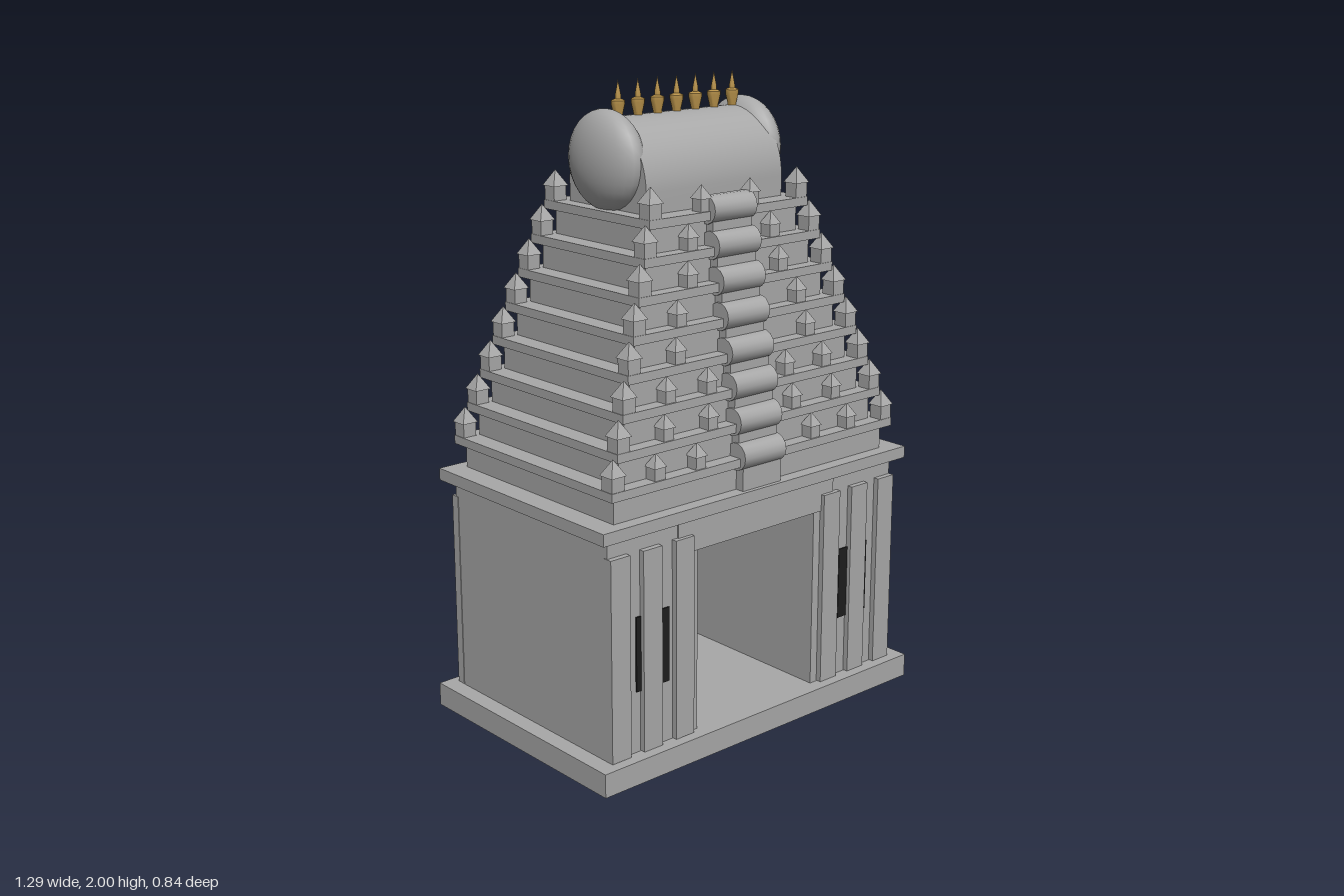
import * as THREE from 'three';
import { toCreasedNormals } from 'three/addons/utils/BufferGeometryUtils.js';

export function createModel() {
  const model = new THREE.Group();
  model.name = 'gatewayTower';
  const stone = new THREE.MeshStandardMaterial({ color: 0xa8a8a8 });
  stone.name = 'stone';
  const dark = new THREE.MeshStandardMaterial({ color: 0x1e1e1e });
  dark.name = 'darkNiche';
  const gold = new THREE.MeshStandardMaterial({ color: 0xb8924a });
  gold.name = 'gold';

  const add = (name, geo, x, y, z, parent = model, mat = stone) => {
    const mesh = new THREE.Mesh(geo, mat);
    mesh.name = name;
    mesh.position.set(x, y, z);
    parent.add(mesh);
    return mesh;
  };
  // box given by its bottom height
  const box = (name, w, h, d, x, y, z, parent = model, mat = stone) =>
    add(name, new THREE.BoxGeometry(w, h, d), x, y + h / 2, z, parent, mat);

  // Gate storey
  box('plinth', 1.29, 0.075, 0.84, 0, 0, 0);
  box('lintel', 0.65, 0.11, 0.752, 0, 0.655, 0);
  box('gateCornice', 1.256, 0.038, 0.804, 0, 0.763, 0);
  for (const sx of [-1, 1]) {
    box('gateWall', 0.345, 0.69, 0.742, sx * 0.4175, 0.075, 0);
    for (const sz of [-1, 1]) {
      for (const x of [0.556, 0.434, 0.309])
        box('pilaster', 0.072, 0.632, 0.03, sx * x, 0.077, sz * 0.374);
      box('niche', 0.127, 0.235, 0.008, sx * 0.424, 0.27, sz * 0.372, model, dark);
    }
  }

  // Corner and row turrets: cube with a pyramid roof
  const cube = new THREE.BoxGeometry(0.046, 0.045, 0.046);
  const roof = new THREE.ConeGeometry(0.039, 0.048, 4).rotateY(Math.PI / 4).toNonIndexed();
  roof.computeVertexNormals();
  const turret = (x, y, z, s, parent) => {
    const g = new THREE.Group();
    g.name = 'turret';
    add('turretBody', cube, 0, 0.0225, 0, g);
    add('turretRoof', roof, 0, 0.068, 0, g);
    g.position.set(x, y, z);
    g.scale.setScalar(s);
    parent.add(g);
  };

  // Stepped tiers
  const tierHeight = 0.1035;
  const barrel = toCreasedNormals(
    new THREE.CylinderGeometry(0.043, 0.043, 0.17, 14).rotateZ(Math.PI / 2), 0.7);
  for (let i = 0; i < 8; i++) {
    const tier = new THREE.Group();
    tier.name = 'tier' + (i + 1);
    model.add(tier);
    const y = 0.8 + i * tierHeight, top = y + tierHeight;
    const hx = 0.555 - i * 0.0373, hz = 0.358 - i * 0.0197;
    box('tierWall', hx * 2, tierHeight - 0.027, hz * 2, 0, y, 0, tier);
    box('tierCornice', hx * 2 + 0.05, 0.027, hz * 2 + 0.05, 0, top - 0.027, 0, tier);
    const count = Math.floor((2 * hx) / 0.155) + 1;
    for (const sz of [-1, 1]) {
      box('centreNiche', 0.156, tierHeight - 0.02, 0.06, 0, y, sz * hz, tier);
      add('centreBarrel', barrel, 0, top + 0.002, sz * (hz + 0.004), tier);
      for (let k = 0; k < count; k++) {
        const x = -hx + (2 * hx * k) / (count - 1);
        const corner = k === 0 || k === count - 1;
        if (Math.abs(x) > 0.094) turret(x, top, sz * hz, corner ? 1 : 0.85, tier);
      }
    }
  }

  // Barrel-vaulted crown
  const section = new THREE.Shape();
  section.moveTo(-0.177, 1.625);
  section.lineTo(0.177, 1.625);
  section.lineTo(0.177, 1.69);
  section.absellipse(0, 1.69, 0.177, 0.203, 0, Math.PI, false);
  section.lineTo(-0.177, 1.625);
  const vault = new THREE.ExtrudeGeometry(section, { depth: 0.545, bevelEnabled: false, curveSegments: 24 });
  vault.translate(0, 0, -0.2725).rotateY(Math.PI / 2);
  add('crownVault', toCreasedNormals(vault, 0.6), 0, 0, 0);
  const cap = new THREE.SphereGeometry(1, 24, 16);
  for (const sx of [-1, 1])
    add('crownEnd', cap, sx * 0.274, 1.77, 0).scale.set(0.074, 0.15, 0.155);

  // Row of finials
  const profile = [[0, 1.885], [0.013, 1.885], [0.014, 1.9], [0.021, 1.93], [0.021, 1.94],
    [0.009, 1.945], [0.009, 1.955], [0, 2]].map(([r, y]) => new THREE.Vector2(r, y));
  const finial = toCreasedNormals(new THREE.LatheGeometry(profile, 12), 0.7);
  for (let i = -3; i <= 3; i++) add('finial', finial, i * 0.076, 0, 0, model, gold);

  return model;
}
